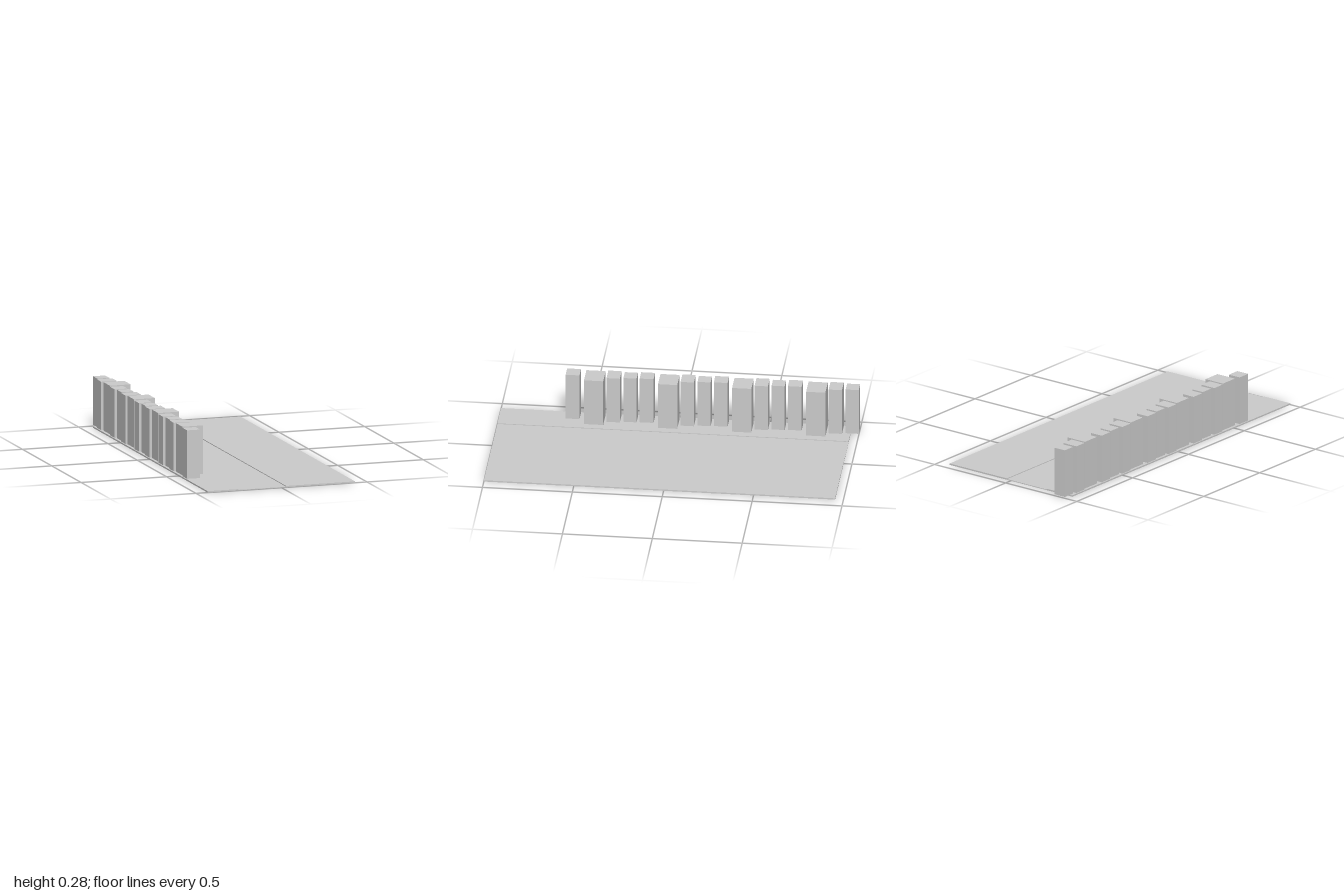
import * as THREE from 'three';

export function createModel() {
  const model = new THREE.Group();
  const material = new THREE.MeshStandardMaterial({ color: 0xcccccc, flatShading: true });

  // Box given by its extents
  function block(name, x0, x1, y0, y1, z0, z1, parent) {
    const mesh = new THREE.Mesh(new THREE.BoxGeometry(x1 - x0, y1 - y0, z1 - z0), material);
    mesh.position.set((x0 + x1) / 2, (y0 + y1) / 2, (z0 + z1) / 2);
    mesh.name = name;
    parent.add(mesh);
  }

  // Ground: a low road between two raised strips
  const back = -0.954, front = 1, kerb = 0.008;
  block('buildingStrip', -0.432, -0.25, 0, kerb, back, front, model);
  block('road', -0.25, 0.027, 0, 0.004, back, front, model);
  block('openGround', 0.027, 0.43, 0, kerb, back, front, model);

  // Row of buildings: four footprints repeated along the street
  const buildings = new THREE.Group();
  buildings.name = 'buildings';
  model.add(buildings);
  const footprints = [
    // x0, x1, z0, depth
    [-0.416, -0.345, -1, 0.073],
    [-0.425, -0.334, -0.908, 0.074],
    [-0.416, -0.294, -0.82, 0.107],
    [-0.425, -0.349, -0.682, 0.077],
  ];
  const period = 0.412;
  for (let i = 0; i < 4; i++) {
    for (const [x0, x1, z, depth] of footprints) {
      const z0 = z + i * period;
      block('building', x0, x1, kerb, 0.281, z0, z0 + depth, buildings);
    }
  }
  return model;
}
